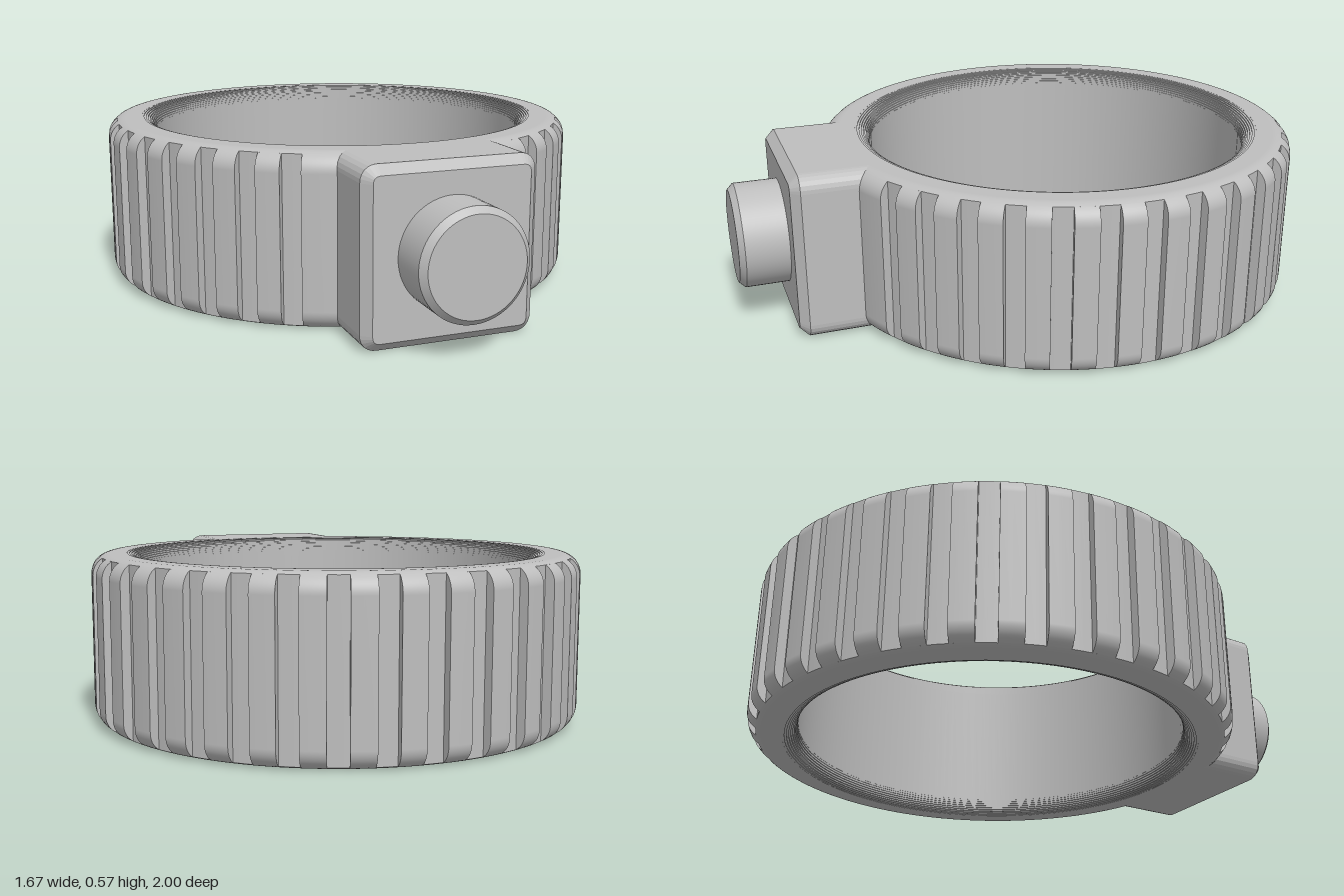
import * as THREE from 'three';

const H = 0.57, R = 0.835, FLOOR = 0.803, INNER = 0.665, FILLET = 0.065, LIP = 0.05;
const RING_Z = -0.165;
const V = (x, y) => new THREE.Vector2(x, y);
const DEG = Math.PI / 180;

export function createModel() {
  const model = new THREE.Group();
  const grey = new THREE.MeshStandardMaterial({ color: 0xbebebe, side: THREE.DoubleSide });
  grey.name = 'plain grey';
  const add = (parent, name, geometry) => {
    const mesh = new THREE.Mesh(geometry, grey);
    mesh.name = name;
    parent.add(mesh);
    return mesh;
  };

  // Rounded outer edge, from angle a to b, at the top or mirrored to the bottom
  const edge = (a, b, n = 8) => Array.from({ length: n + 1 }, (_, i) => {
    const t = a + (b - a) * i / n;
    return V(R - FILLET + FILLET * Math.cos(t), H - FILLET + FILLET * Math.sin(t));
  });
  const mirror = pts => pts.map(p => V(p.x, H - p.y)).reverse();
  const cut = Math.acos((FLOOR - R + FILLET) / FILLET);

  const ring = new THREE.Group();
  ring.name = 'ring';
  ring.position.z = RING_Z;
  model.add(ring);

  // Ring body at the depth of the groove floors
  const top = edge(cut, Math.PI / 2);
  const outer = [...mirror(top), V(FLOOR, H - top[0].y), top[0].clone(), ...top];
  const last = outer[outer.length - 1];
  add(ring, 'ringBody', new THREE.LatheGeometry([
    V(INNER + LIP, 0), ...outer, last.clone(), V(INNER + LIP, H),
  ], 144));

  // Bore with finely stepped lips at both ends
  const lip = [];
  const steps = 10;
  for (let i = 0; i <= steps; i++) {
    const t = i / steps * Math.PI / 2;
    const r = INNER + LIP - LIP * Math.sin(t), y = H - LIP + LIP * Math.cos(t);
    if (i) lip.push(V(lip[lip.length - 1].x, y));
    lip.push(V(r, y));
  }
  const bore = [...lip, ...mirror(lip)].flatMap(p => [p, p.clone()]);
  add(ring, 'bore', new THREE.LatheGeometry(bore, 144));

  // Raised ribs between the grooves; one wide plain land sits behind the block
  const rise = edge(0, cut);
  const ribProfile = [...mirror(rise), ...rise];
  const endCap = new THREE.ShapeGeometry(new THREE.Shape(ribProfile));
  const addRib = (from, to) => {
    const rib = new THREE.Group();
    rib.name = 'gripRib';
    ring.add(rib);
    add(rib, 'ribFace', new THREE.LatheGeometry(
      ribProfile, Math.max(2, Math.round((to - from) / 2.5)), from * DEG, (to - from) * DEG));
    for (const a of [from, to]) {
      add(rib, 'ribEnd', endCap).rotation.y = a * DEG - Math.PI / 2;
    }
  };
  const half = 2.3;
  for (let a = 30; a < 330; a += 10) addRib(a + half, a + 10 - half);
  addRib(-30 + half, 30 - half);

  // Block on the front, with chamfered face and softened corners
  const w = 0.287, c = 0.03, x = w - c, y0 = c, y1 = H - c, q = 0.025;
  const s = new THREE.Shape();
  s.moveTo(-x + q, y0);
  s.lineTo(x - q, y0);
  s.quadraticCurveTo(x, y0, x, y0 + q);
  s.lineTo(x, y1 - q);
  s.quadraticCurveTo(x, y1, x - q, y1);
  s.lineTo(-x + q, y1);
  s.quadraticCurveTo(-x, y1, -x, y1 - q);
  s.lineTo(-x, y0 + q);
  s.quadraticCurveTo(-x, y0, -x + q, y0);
  const block = add(model, 'frontBlock', new THREE.ExtrudeGeometry(s, {
    depth: 0.245, bevelThickness: c, bevelSize: c, bevelSegments: 1, curveSegments: 6,
  }));
  block.position.z = 0.56;

  // Round button with a chamfered rim
  const b = 0.178, ch = 0.02, len = 0.18;
  const button = add(model, 'button', new THREE.LatheGeometry(
    [V(b, 0), V(b, len - ch), V(b - ch, len), V(0, len)].flatMap(p => [p, p.clone()]), 64));
  button.rotation.x = Math.PI / 2;
  button.position.set(0, 0.288, 1 - len);

  return model;
}
